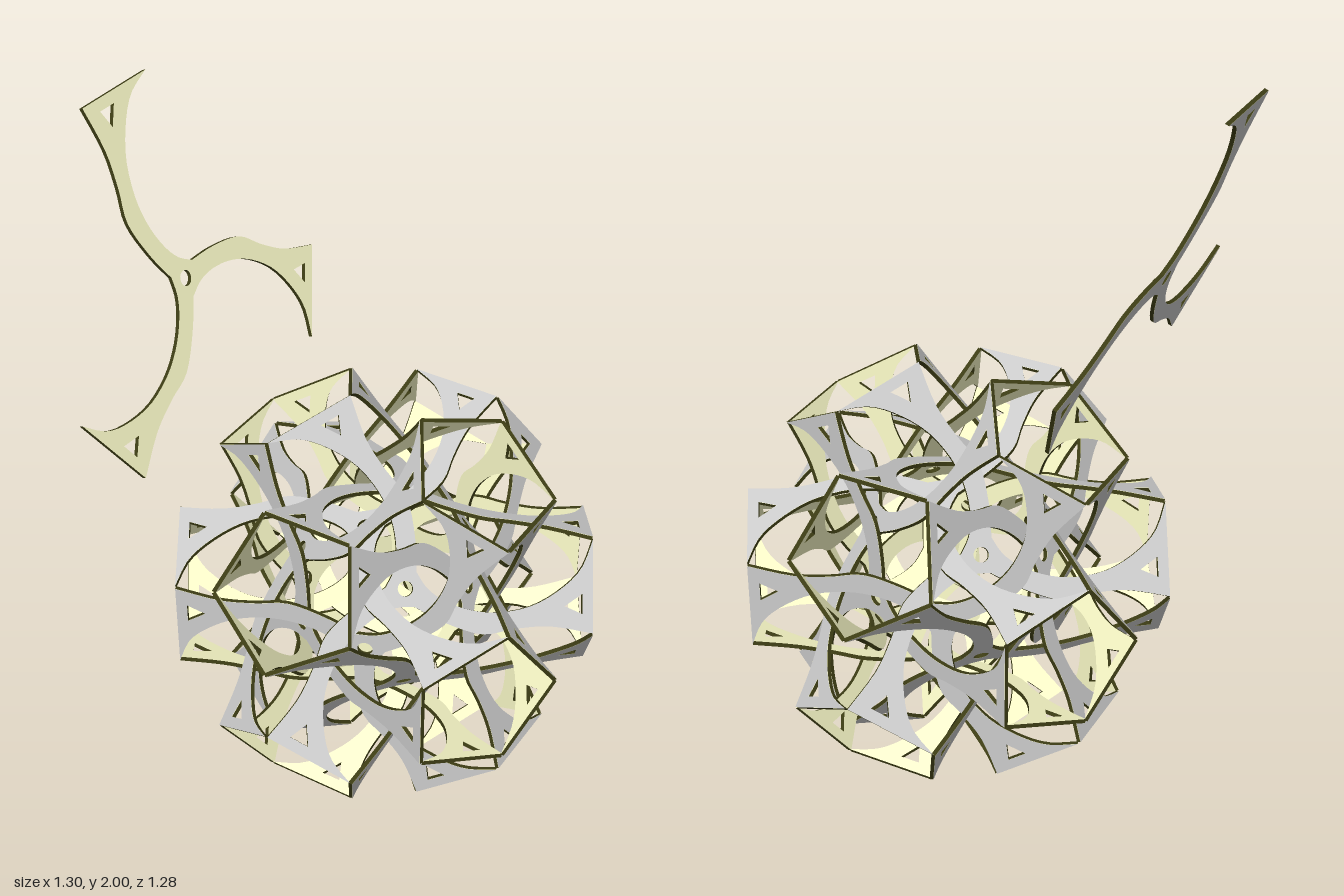
import * as THREE from 'three';

const PHI = (1 + Math.sqrt(5)) / 2;
const BALL = new THREE.Vector3(0.05, 0.6, -0.045); // centre of the ball
const DIST = 0.28;                                 // plane distance from the centre
const THICK = 0.011;

// One arm pointing along +y, seen from outside: bulging side, hollow side, cut-out
const BULGE = [[0.0485, 0.024], [0.092, 0.107], [0.125, 0.21], [0.112, 0.3], [0.107, 0.4], [0.128, 0.52]];
const HOLLOW = [[-0.128, 0.52], [-0.05, 0.488], [0.006, 0.43], [0.05, 0.35], [0.067, 0.26],
  [0.06, 0.18], [0.035, 0.11], [0, 0.06], [-0.045, 0.03]];
const CUTOUT = [[0.075, 0.49], [0.02, 0.49], [0.053, 0.44]];

const vec = ([x, y]) => new THREE.Vector2(x, y);
const smooth = (pts, n) => new THREE.SplineCurve(pts.map(vec)).getPoints(n);

// Flat three-armed piece with a centre hole and a triangular cut-out at each tip
function pieceShape() {
  const origin = new THREE.Vector2();
  const outline = [];
  const holes = [];
  for (let k = 0; k < 3; k++) {
    const turn = p => p.clone().rotateAround(origin, k * Math.PI * 2 / 3);
    outline.push(...[...smooth(BULGE, 20), ...smooth(HOLLOW, 26).slice(0, -1)].map(turn));
    holes.push(new THREE.Path(CUTOUT.map(vec).map(turn)));
  }
  const shape = new THREE.Shape(outline);
  holes.push(new THREE.Path().absarc(0, 0, 0.021, 0, Math.PI * 2, true));
  shape.holes.push(...holes);
  return shape;
}

// The 20 face directions of an icosahedron
function faceNormals() {
  const list = [];
  for (const a of [-1, 1]) for (const b of [-1, 1]) {
    const p = a * PHI, q = b / PHI;
    list.push([p, q, 0], [0, p, q], [q, 0, p], [a, b, 1], [a, b, -1]);
  }
  return list.map(n => new THREE.Vector3(...n).normalize());
}

export function createModel() {
  const model = new THREE.Group();
  const shape = pieceShape();

  const body = new THREE.ExtrudeGeometry(shape, { depth: THICK, bevelEnabled: false, curveSegments: 10 });
  body.translate(0, 0, -THICK / 2);
  const face = new THREE.ShapeGeometry(shape, 10);
  face.translate(0, 0, THICK / 2 + 0.001);

  const grey = new THREE.MeshStandardMaterial({ color: 0xcccccc });
  const cream = new THREE.MeshStandardMaterial({ color: 0xffffcc });
  const olive = new THREE.MeshStandardMaterial({ color: 0x3c3c14 });

  const normals = faceNormals();

  // A piece lying square to normal n, with one arm towards the nearest neighbour
  function makePiece(name, n, position) {
    const near = normals.filter(m => m !== n && m.distanceTo(n) > 0.01)
      .reduce((best, m) => (m.dot(n) > best.dot(n) ? m : best));
    const up = near.clone().addScaledVector(n, -near.dot(n)).normalize();
    const right = new THREE.Vector3().crossVectors(up, n);
    const piece = new THREE.Group();
    piece.name = name;
    const sheet = new THREE.Mesh(body, [cream, olive]);
    sheet.name = 'pieceBody';
    const front = new THREE.Mesh(face, grey);
    front.name = 'pieceOuterFace';
    piece.add(sheet, front);
    piece.quaternion.setFromRotationMatrix(new THREE.Matrix4().makeBasis(right, up, n));
    piece.position.copy(position);
    model.add(piece);
  }

  // Interlocked ball
  normals.forEach((n, i) => makePiece('ballPiece' + (i + 1), n, BALL.clone().addScaledVector(n, DIST)));

  // Single loose piece floating above
  const looseNormal = new THREE.Vector3(-PHI, -1 / PHI, 0).normalize();
  makePiece('loosePiece', looseNormal, new THREE.Vector3(-0.459, 1.514, 0.122));

  return model;
}
